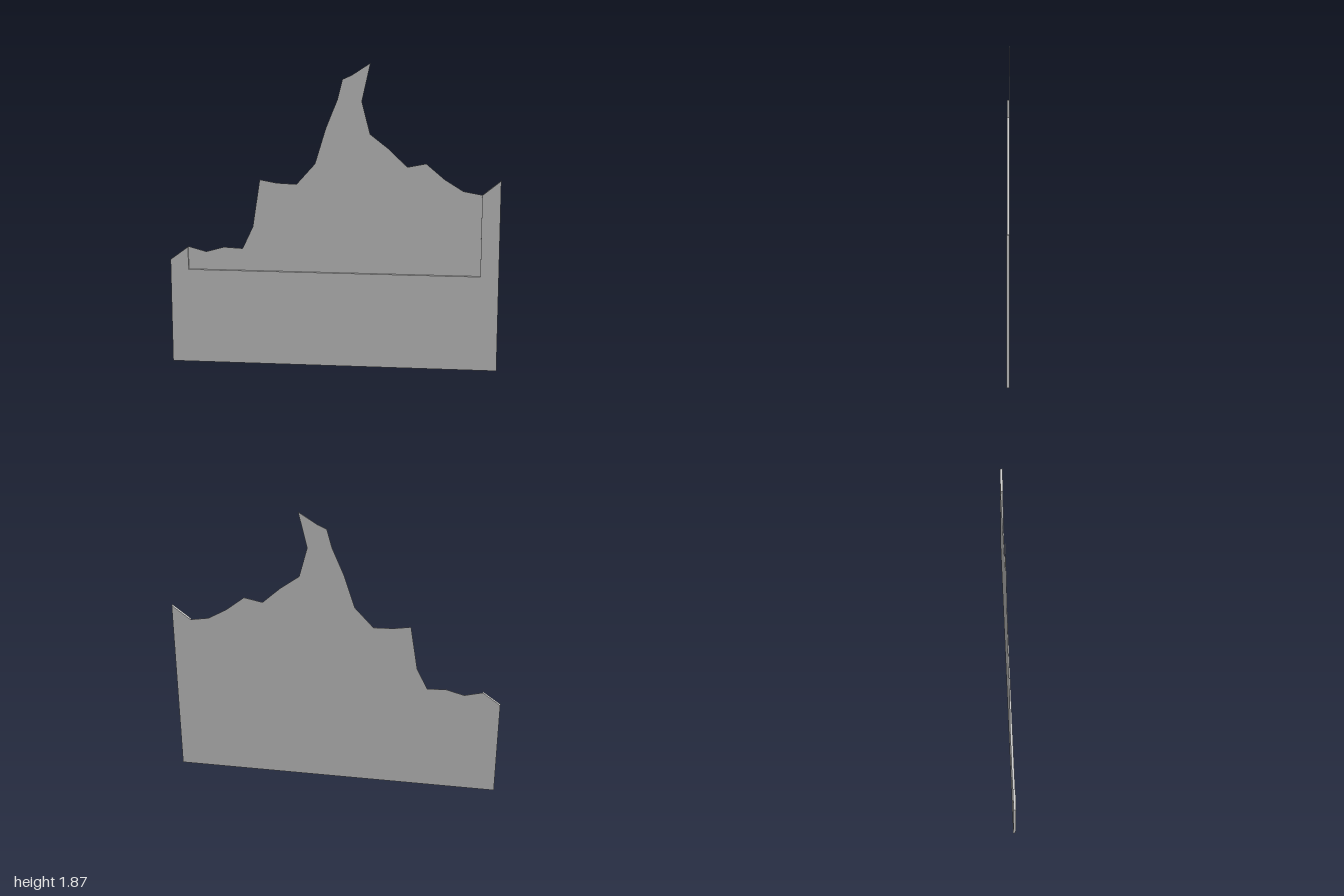
import * as THREE from 'three';

// Jagged skyline, left to right
const skyline = [
  [-1, 0.65], [-0.89, 0.732], [-0.78, 0.702], [-0.67, 0.733], [-0.555, 0.727],
  [-0.49, 0.865], [-0.445, 1.157], [-0.34, 1.138], [-0.222, 1.133], [-0.11, 1.26],
  [-0.045, 1.475], [0.025, 1.65], [0.055, 1.77], [0.11, 1.795], [0.22, 1.868],
  [0.17, 1.64], [0.22, 1.445], [0.335, 1.355], [0.443, 1.25], [0.555, 1.273],
  [0.665, 1.18], [0.778, 1.11], [0.89, 1.09], [1, 1.18],
];
const ledgeY = 0.59; // top of the raised border's lower band
const back = -0.008, sheet = 0.002, front = 0.008;

// Flat plate cut to an outline, between two depths
function plate(name, points, z0, z1) {
  const shape = new THREE.Shape(points.map(([x, y]) => new THREE.Vector2(x, y)));
  const geometry = new THREE.ExtrudeGeometry(shape, { depth: z1 - z0, bevelEnabled: false });
  geometry.translate(0, 0, z0);
  const material = new THREE.MeshStandardMaterial({ color: 0xcccccc, flatShading: true });
  const mesh = new THREE.Mesh(geometry, material);
  mesh.name = name;
  return mesh;
}

export function createModel() {
  const group = new THREE.Group();
  group.name = 'skylinePanel';

  // Thin backing sheet with the full silhouette
  group.add(plate('backSheet', [[1, 0], [-1, 0], ...skyline], back, back + sheet));

  // Raised U-shaped border: lower band with an upright at each end
  const [farLeft, innerLeft] = skyline;
  const [innerRight, farRight] = skyline.slice(-2);
  group.add(plate('frontBorder', [
    [1, 0], [-1, 0], farLeft, innerLeft,
    [innerLeft[0], ledgeY], [innerRight[0], ledgeY],
    innerRight, farRight,
  ], back + sheet, front));

  return group;
}
